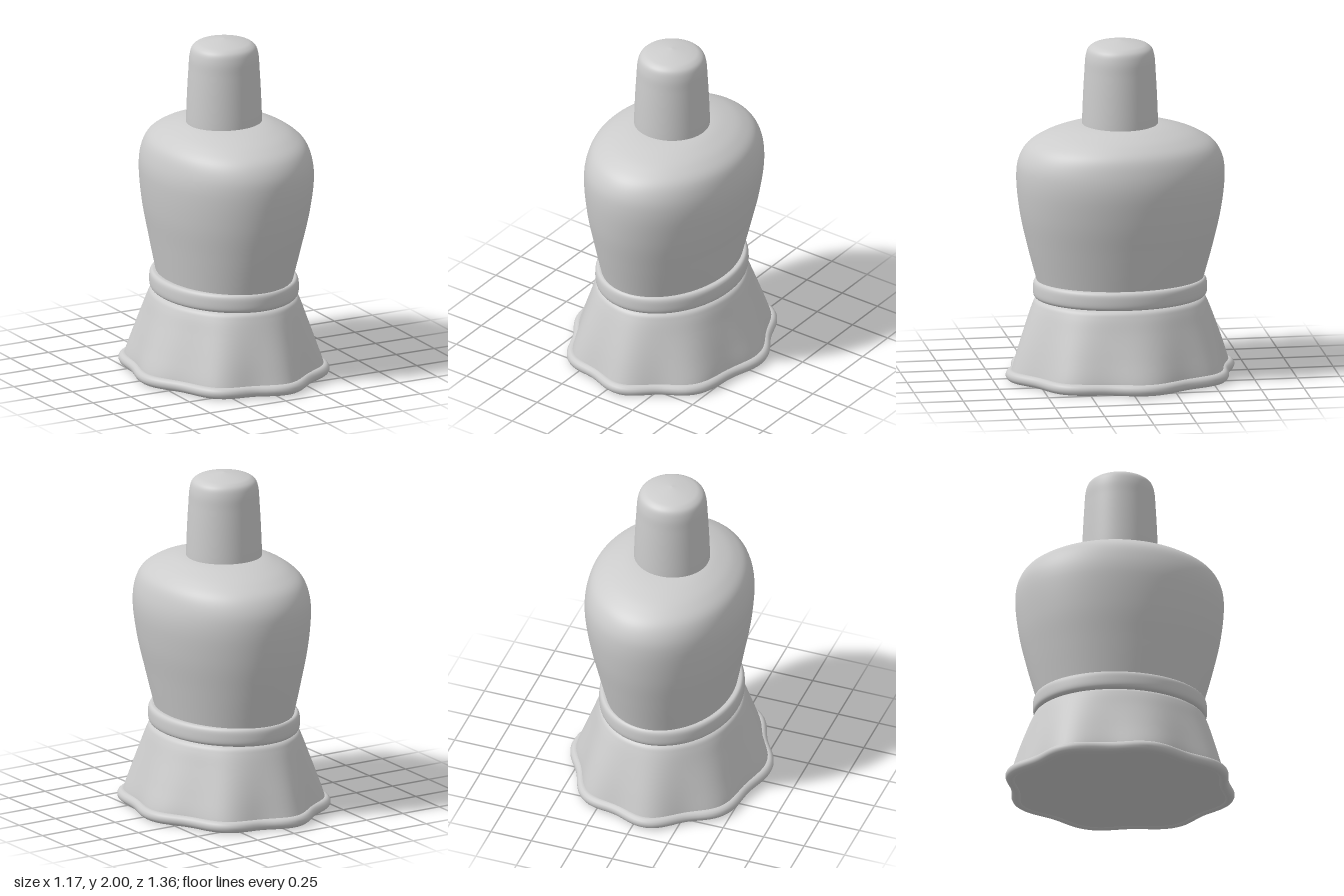
import * as THREE from 'three';

const SEG = 96;
const grey = new THREE.MeshStandardMaterial({ color: 0xcccccc });
grey.name = 'plain grey';

// eight-lobed ripple around the skirt
const ripple = (t) => 0.037 * Math.cos(8 * t + 1.2566);

// Smooth loft through elliptical rings [y, radiusX, radiusZ];
// wave(y) scales the ripple, shift(y) moves a ring along x
function loft(name, rings, { steps = 40, wave = () => 0, shift = () => 0 } = {}) {
  const curve = new THREE.CatmullRomCurve3(rings.map(([y, rx, rz]) => new THREE.Vector3(rx, y, rz)));
  const pos = [], idx = [];
  for (let i = 0; i <= steps; i++) {
    const p = curve.getPoint(i / steps);
    for (let j = 0; j < SEG; j++) {
      const t = (j / SEG) * Math.PI * 2;
      const k = 1 + wave(p.y) * ripple(t);
      pos.push(shift(p.y) + p.x * k * Math.cos(t), p.y, p.z * k * Math.sin(t));
      if (i < steps) {
        const a = i * SEG + j, b = i * SEG + ((j + 1) % SEG);
        idx.push(a, a + SEG, b, b, a + SEG, b + SEG);
      }
    }
  }
  const geo = new THREE.BufferGeometry();
  geo.setAttribute('position', new THREE.Float32BufferAttribute(pos, 3));
  geo.setIndex(idx);
  geo.computeVertexNormals();
  const mesh = new THREE.Mesh(geo, grey);
  mesh.name = name;
  return mesh;
}

export function createModel() {
  const model = new THREE.Group();
  model.name = 'bellFigure';

  // underside and flared skirt, ripple fading towards the waist
  model.add(loft('underside', [[0.01, 0, 0], [0.01, 0.535, 0.63]], { steps: 2, wave: () => 1 }));
  model.add(loft('skirt', [
    [0.02, 0.545, 0.64], [0.08, 0.535, 0.625], [0.2, 0.497, 0.592], [0.34, 0.45, 0.546],
    [0.43, 0.42, 0.512], [0.46, 0.405, 0.497], [0.474, 0.38, 0.475], [0.48, 0.34, 0.43],
  ], { wave: (y) => Math.max(0, 1 - y / 0.48) }));

  // rolled hem following the rippled edge
  const hemPoints = Array.from({ length: SEG }, (_, j) => {
    const t = -(j / SEG) * Math.PI * 2, k = 1 + ripple(t);
    return new THREE.Vector3(0.537 * k * Math.cos(t), 0.035, 0.628 * k * Math.sin(t));
  });
  const hem = new THREE.Mesh(
    new THREE.TubeGeometry(new THREE.CatmullRomCurve3(hemPoints, true), 192, 0.033, 14, true), grey);
  hem.name = 'hem';
  model.add(hem);

  // waist band with rounded edges
  model.add(loft('waistBand', [
    [0.476, 0.34, 0.44], [0.474, 0.385, 0.485], [0.481, 0.401, 0.497], [0.495, 0.408, 0.505],
    [0.53, 0.41, 0.507], [0.565, 0.406, 0.503], [0.58, 0.395, 0.493], [0.583, 0.375, 0.475], [0.578, 0.34, 0.44],
  ]));

  // oval body, leaning slightly towards +x near the shoulders
  model.add(loft('body', [
    [0.54, 0.36, 0.475], [0.6, 0.373, 0.492], [0.8, 0.415, 0.545], [1.0, 0.455, 0.588],
    [1.2, 0.475, 0.607], [1.3, 0.464, 0.595], [1.38, 0.435, 0.55], [1.44, 0.37, 0.46],
    [1.48, 0.29, 0.35], [1.503, 0.21, 0.235], [1.51, 0.1, 0.11], [1.51, 0, 0],
  ], { steps: 64, shift: (y) => 0.015 * Math.min(1, Math.max(0, (y - 0.55) / 0.6)) }));

  // capped head
  model.add(loft('head', [
    [1.45, 0.22, 0.22], [1.52, 0.22, 0.22], [1.7, 0.213, 0.213], [1.82, 0.206, 0.206],
    [1.9, 0.2, 0.2], [1.945, 0.187, 0.187], [1.967, 0.163, 0.163], [1.979, 0.13, 0.13],
    [1.992, 0.065, 0.065], [2.0, 0, 0],
  ], { steps: 54 }));

  return model;
}
